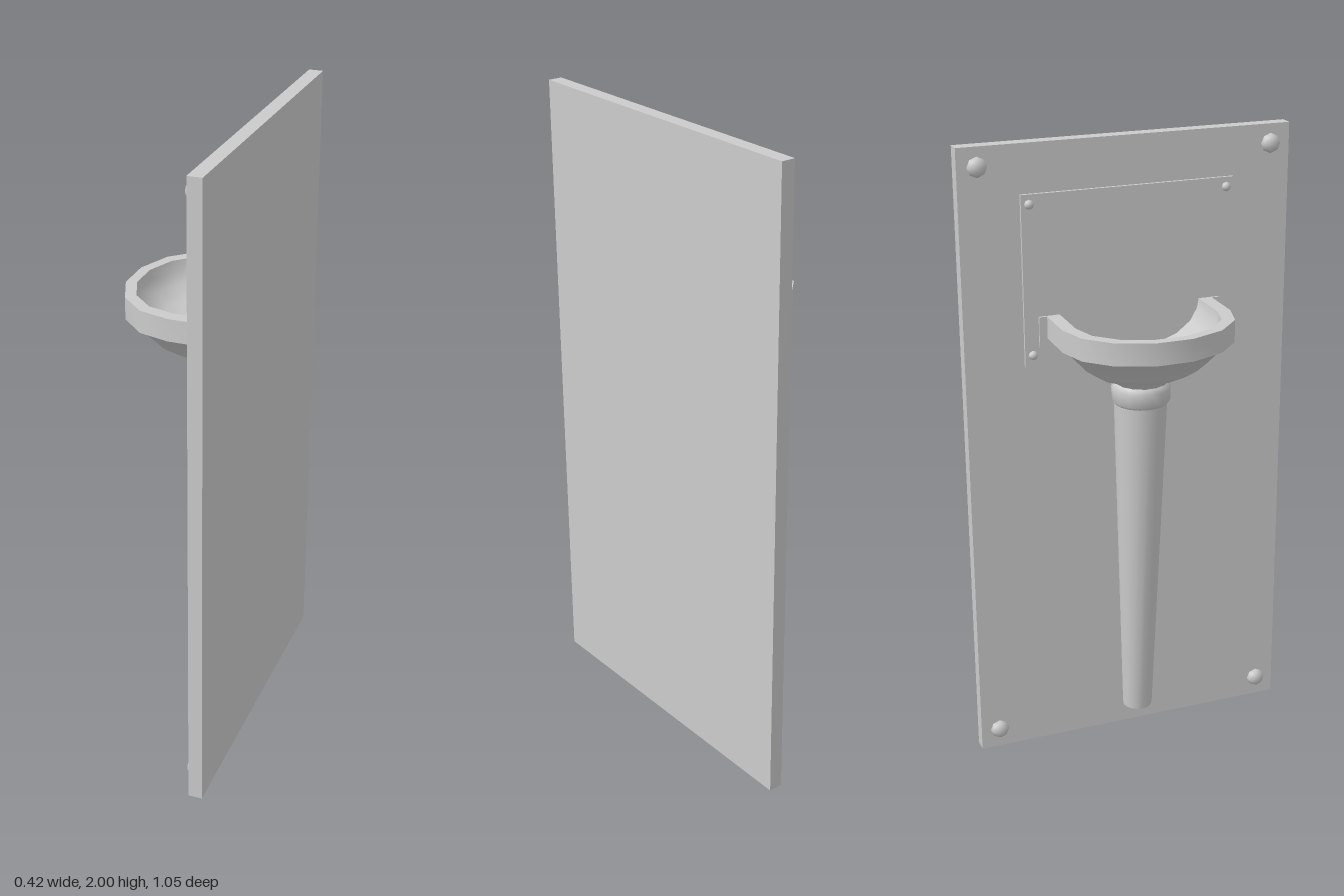
import * as THREE from 'three';
import { toCreasedNormals } from 'three/addons/utils/BufferGeometryUtils.js';

const WALL_X = 0.155; // plane the basin ends against

// U-shaped outline: straight sides from the wall, then a half ellipse towards -x
function outline([y, cx, a, b]) {
  const pts = [[WALL_X, y, -b]];
  const n = 7;
  for (let k = 0; k <= n; k++) {
    const t = (k / n) * Math.PI;
    pts.push([cx - a * Math.sin(t), y, -b * Math.cos(t)]);
  }
  pts.push([WALL_X, y, b]);
  return pts;
}

// Skin a stack of outlines
function loft(sections) {
  const rings = sections.map(outline);
  const m = rings[0].length;
  const index = [];
  for (let i = 0; i < rings.length - 1; i++) {
    for (let j = 0; j < m - 1; j++) {
      const p = i * m + j, q = p + m;
      index.push(p, p + 1, q, p + 1, q + 1, q);
    }
  }
  const g = new THREE.BufferGeometry();
  g.setAttribute('position', new THREE.Float32BufferAttribute(rings.flat(2), 3));
  g.setIndex(index);
  return toCreasedNormals(g, 0.65);
}

export function createModel() {
  const group = new THREE.Group();
  const grey = new THREE.MeshStandardMaterial({ color: 0xcccccc });
  const thin = new THREE.MeshStandardMaterial({ color: 0xcccccc, side: THREE.DoubleSide });

  function add(name, geometry, x = 0, y = 0, z = 0, material = grey) {
    const mesh = new THREE.Mesh(geometry, material);
    mesh.name = name;
    mesh.position.set(x, y, z);
    group.add(mesh);
    return mesh;
  }
  const box = (name, x0, x1, y0, y1, z0, z1) =>
    add(name, new THREE.BoxGeometry(x1 - x0, y1 - y0, z1 - z0),
      (x0 + x1) / 2, (y0 + y1) / 2, (z0 + z1) / 2);

  // Wall panel and splash plate
  box('wallPanel', 0.163, 0.207, 0, 2, -0.527, 0.527);
  box('splashPlate', 0.153, 0.164, 1.32, 1.85, -0.34, 0.34);

  // Domed bolts at the corners of both
  const dome = new THREE.SphereGeometry(1, 8, 3, 0, Math.PI * 2, 0, Math.PI / 2).rotateZ(Math.PI / 2);
  const bolt = (name, x, y, z, r, h) => add(name, dome, x, y, z).scale.set(h, r, r);
  for (const s of [-1, 1]) {
    for (const y of [0.065, 1.94]) bolt('panelBolt', 0.163, y, s * 0.465, 0.031, 0.025);
    for (const y of [1.355, 1.82]) bolt('plateBolt', 0.153, y, s * 0.315, 0.015, 0.014);
    // Ear where the rim meets the wall
    box('rimEar', 0.146, 0.156, 1.38, 1.475, s * 0.265 - 0.03, s * 0.265 + 0.03);
  }

  // Basin: underside, rim, then bowl; each row is y, arc centre x, depth, half width
  add('basin', loft([
    [1.262, 0.06, 0.08, 0.08],
    [1.282, 0.055, 0.095, 0.10],
    [1.30, 0.04, 0.125, 0.15],
    [1.33, 0.02, 0.148, 0.19],
    [1.40, 0.005, 0.205, 0.25],
    [1.405, 0.005, 0.22, 0.27],
    [1.475, 0.005, 0.22, 0.27],
    [1.475, 0.005, 0.187, 0.228],
    [1.445, 0.005, 0.183, 0.223],
    [1.405, 0.01, 0.17, 0.20],
    [1.37, 0.02, 0.135, 0.155],
    [1.347, 0.035, 0.08, 0.09],
    [1.34, 0.06, 0, 0],
  ]), 0, 0, 0, thin);

  // Rounded collar under the basin
  const collar = [[0, 1.195], [0.083, 1.195], [0.091, 1.205], [0.092, 1.245],
    [0.087, 1.26], [0.075, 1.27], [0.08, 1.285], [0, 1.285]];
  add('collar', toCreasedNormals(
    new THREE.LatheGeometry(collar.map(([r, y]) => new THREE.Vector2(r, y)), 16), 0.8), 0.063);

  // Pedestal: tapered round column, sheared so its back stays upright at the wall
  const column = new THREE.CylinderGeometry(0.083, 0.048, 1.1, 16);
  const p = column.attributes.position;
  for (let i = 0; i < p.count; i++) {
    const t = p.getY(i) / 1.1 + 0.5;
    p.setX(i, p.getX(i) + 0.102 - 0.035 * t);
  }
  column.computeVertexNormals();
  add('pedestal', toCreasedNormals(column, 0.8), 0, 0.65, 0);

  return group;
}
